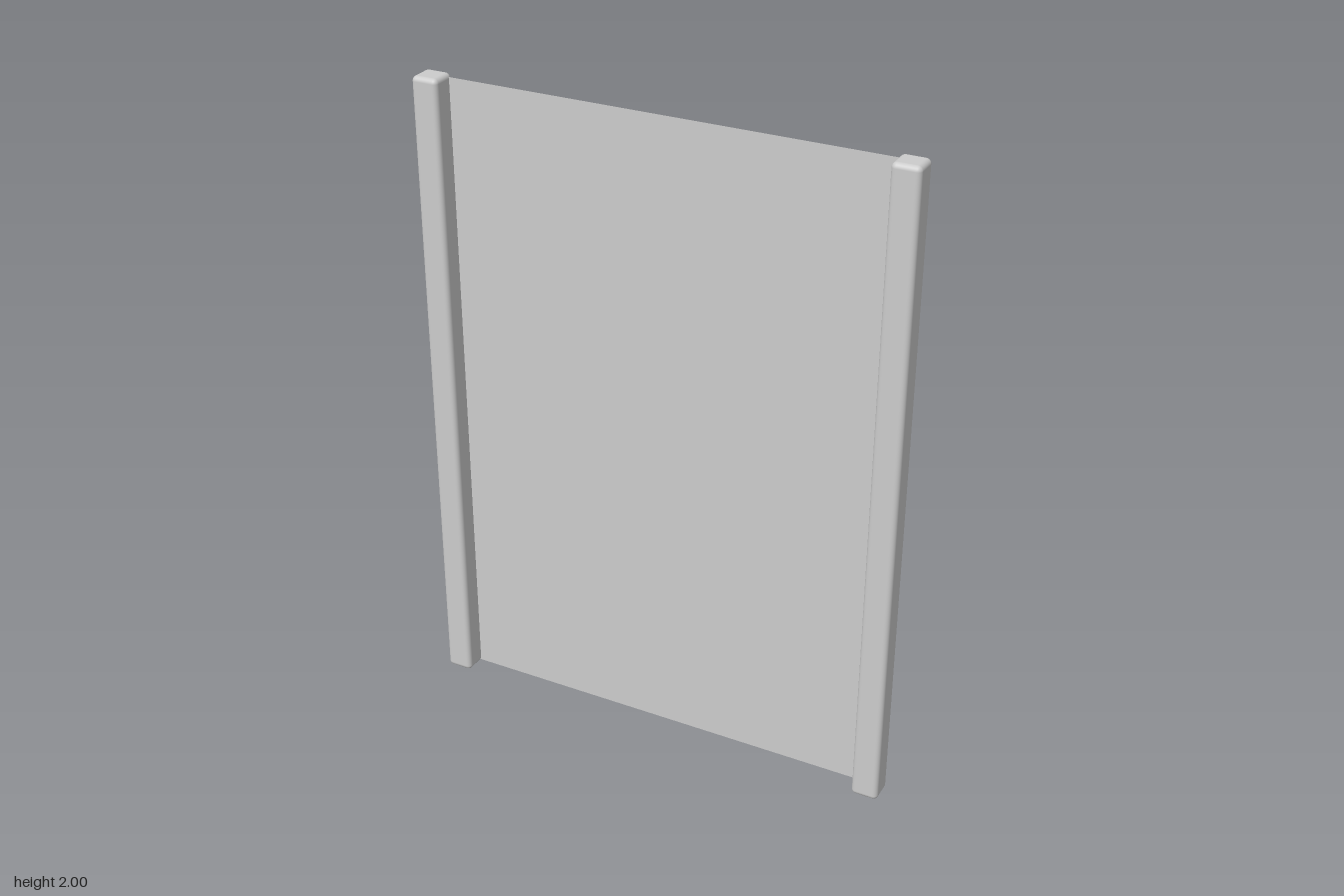
import * as THREE from 'three';
import { RoundedBoxGeometry } from 'three/addons/geometries/RoundedBoxGeometry.js';

const HEIGHT = 2;
const POST = 0.083;    // post thickness
const POST_X = 0.7085; // post centre line

export function createModel() {
  const group = new THREE.Group();
  const grey = new THREE.MeshStandardMaterial({ color: 0xcccccc });
  const sheet = new THREE.MeshStandardMaterial({ color: 0xcccccc, side: THREE.DoubleSide });

  // Two square posts with softened edges
  const postGeometry = new RoundedBoxGeometry(POST, HEIGHT, POST, 4, 0.015);
  for (const [name, side] of [['leftPost', 1], ['rightPost', -1]]) {
    const post = new THREE.Mesh(postGeometry, grey);
    post.name = name;
    post.position.set(side * POST_X, HEIGHT / 2, 0);
    group.add(post);
  }

  // Thin pane between the posts, set behind their centre line
  const pane = new THREE.Mesh(new THREE.PlaneGeometry(2 * POST_X - POST + 0.01, 1.985), sheet);
  pane.name = 'pane';
  pane.position.set(0, 0.9975, -0.025);
  group.add(pane);

  return group;
}
